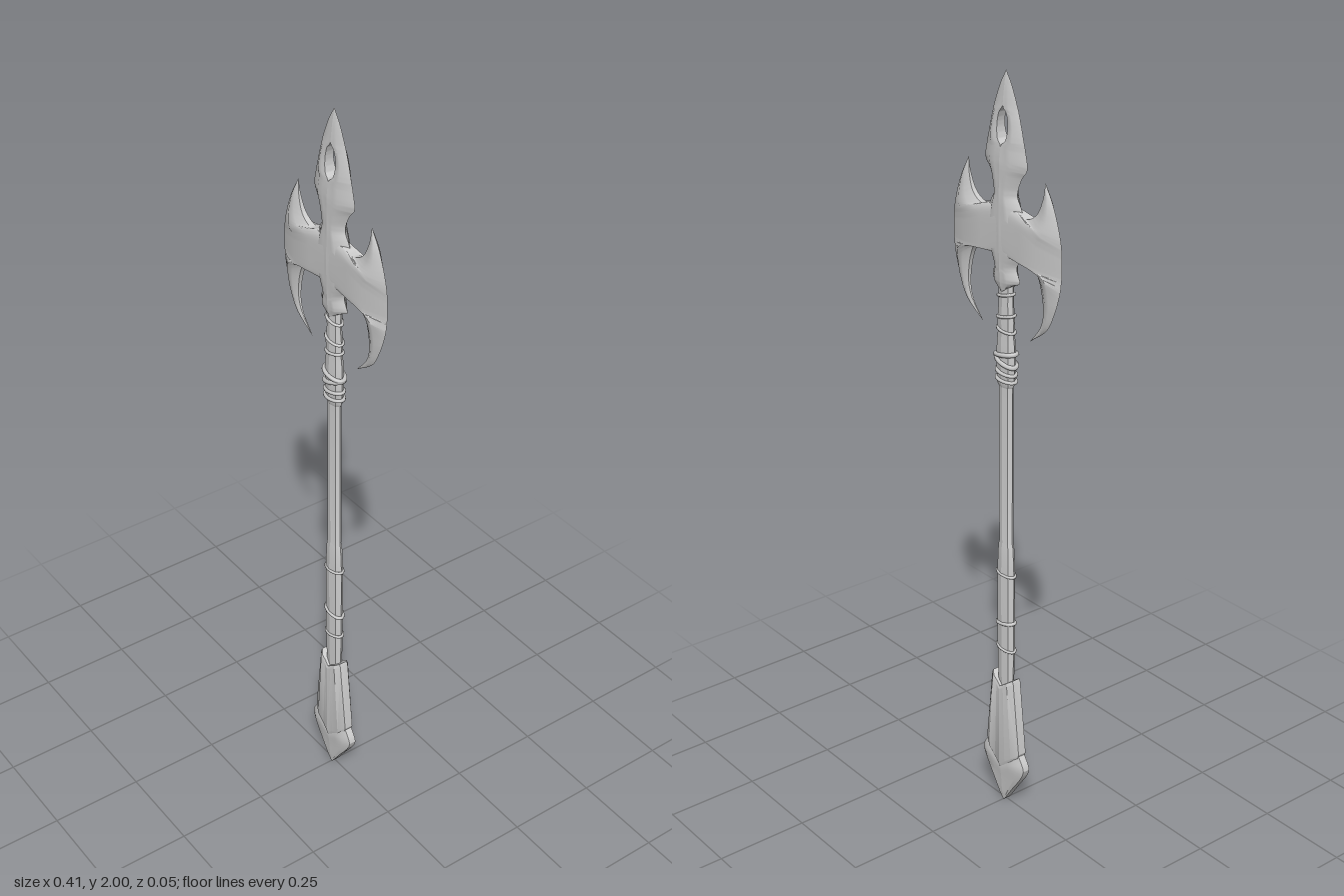
import * as THREE from 'three';
import { toCreasedNormals } from 'three/addons/utils/BufferGeometryUtils.js';

const material = new THREE.MeshStandardMaterial({ color: 0xcccccc });

function addMesh(parent, geometry, name) {
  const mesh = new THREE.Mesh(geometry, material);
  mesh.name = name;
  parent.add(mesh);
  return mesh;
}

// Lofts one side of a bevelled plate. Rows run from top to bottom:
// [innerX, innerY, outerX, outerY, innerHalfDepth, ridgeHalfDepth]
function plateHalf(rows, side, { flat = [0.3, 0.65], edge = 0, steps = 6, crease = 0.6 }) {
  const curve = (f) => new THREE.CatmullRomCurve3(
    rows.map((r) => new THREE.Vector3(...f(r))), false, 'catmullrom', 0.5);
  const inner = curve((r) => [r[0], r[1], r[4]]);
  const outer = curve((r) => [r[2], r[3], r[5]]);
  const count = (rows.length - 1) * steps;
  const positions = [], indices = [];
  const ring = 8;
  // the first and last sections repeat with no depth, closing the ends
  for (let k = -1; k <= count + 1; k++) {
    const t = Math.min(Math.max(k / count, 0), 1);
    const a = inner.getPoint(t), b = outer.getPoint(t);
    const depth = k < 0 || k > count ? 0 : 1;
    a.x = Math.max(a.x, 0);
    const section = [[0, a.z], [flat[0], b.z], [flat[1], b.z], [1, Math.min(edge, b.z)]];
    const loop = [...section, ...section.map(([s, z]) => [s, -z]).reverse()];
    for (const [s, z] of loop) {
      positions.push(side * (a.x + (b.x - a.x) * s), a.y + (b.y - a.y) * s, z * depth);
    }
  }
  for (let k = 0; k < count + 2; k++) {
    for (let i = 0; i < ring; i++) {
      const a = k * ring + i, b = k * ring + (i + 1) % ring;
      const c = a + ring, d = b + ring;
      if (side > 0) indices.push(a, c, b, b, c, d);
      else indices.push(a, b, c, b, d, c);
    }
  }
  const geometry = new THREE.BufferGeometry();
  geometry.setAttribute('position', new THREE.Float32BufferAttribute(positions, 3));
  geometry.setIndex(indices);
  return toCreasedNormals(geometry, crease);
}

function addPlate(parent, name, rows, options) {
  const group = new THREE.Group();
  group.name = name;
  addMesh(group, plateHalf(rows, 1, options), name + 'Left');
  addMesh(group, plateHalf(rows, -1, options), name + 'Right');
  parent.add(group);
}

// Tilted oval cord around the shaft
function addWrap(parent, y, rx, rz, thickness, tilt) {
  const points = [];
  for (let i = 0; i < 16; i++) {
    const a = (i / 16) * Math.PI * 2;
    points.push(new THREE.Vector3(Math.cos(a) * rx, y + Math.cos(a) * tilt, Math.sin(a) * rz));
  }
  const path = new THREE.CatmullRomCurve3(points, true);
  addMesh(parent, new THREE.TubeGeometry(path, 32, thickness, 6, true), 'wrapCord');
}

export function createModel() {
  const model = new THREE.Group();
  model.name = 'doubleAxe';

  // Crescent blades, joined through the hub
  addPlate(model, 'axeBlade', [
    [0.143, 1.765, 0.143, 1.765, 0, 0],
    [0.138, 1.725, 0.17, 1.72, 0.003, 0.008],
    [0.12, 1.685, 0.187, 1.68, 0.006, 0.014],
    [0.085, 1.665, 0.198, 1.645, 0.008, 0.02],
    [0.05, 1.675, 0.203, 1.62, 0.012, 0.022],
    [0, 1.66, 0.205, 1.6, 0.022, 0.022],
    [0, 1.57, 0.205, 1.555, 0.022, 0.022],
    [0.05, 1.565, 0.203, 1.535, 0.012, 0.022],
    [0.1, 1.565, 0.2, 1.515, 0.008, 0.02],
    [0.13, 1.525, 0.193, 1.49, 0.006, 0.015],
    [0.143, 1.46, 0.18, 1.455, 0.004, 0.01],
    [0.132, 1.41, 0.152, 1.405, 0.002, 0.006],
    [0.09, 1.36, 0.09, 1.36, 0, 0],
  ], { flat: [0.35, 0.66], crease: 0.8 });

  // Spear point with a pierced eye, neck, hub and pointed collar
  addPlate(model, 'spearHead', [
    [0, 2, 0, 2, 0, 0],
    [0, 1.965, 0.022, 1.965, 0.006, 0.005],
    [0, 1.92, 0.042, 1.92, 0.011, 0.01],
    [0.014, 1.9, 0.049, 1.9, 0.011, 0.012],
    [0.02, 1.87, 0.058, 1.87, 0.012, 0.014],
    [0.015, 1.84, 0.066, 1.84, 0.015, 0.017],
    [0, 1.822, 0.071, 1.822, 0.018, 0.018],
    [0, 1.785, 0.078, 1.78, 0.022, 0.02],
    [0, 1.75, 0.057, 1.752, 0.022, 0.021],
    [0, 1.71, 0.042, 1.71, 0.023, 0.021],
    [0, 1.67, 0.06, 1.675, 0.023, 0.022],
    [0, 1.615, 0.08, 1.615, 0.024, 0.022],
    [0, 1.565, 0.062, 1.565, 0.023, 0.022],
    [0, 1.525, 0.04, 1.53, 0.022, 0.02],
    [0, 1.49, 0.052, 1.497, 0.02, 0.018],
    [0, 1.465, 0.03, 1.485, 0.016, 0.014],
  ], { flat: [0.25, 0.48], crease: 0.8 });

  // Faceted, flattened shaft with thicker grip and neck
  const profile = [
    [0, 0.3], [0.025, 0.3], [0.03, 0.45], [0.031, 0.7], [0.027, 0.775], [0.024, 0.785],
    [0.024, 1.215], [0.03, 1.225], [0.032, 1.28], [0.031, 1.33], [0.027, 1.36],
    [0.029, 1.39], [0.025, 1.43], [0.026, 1.52], [0, 1.52],
  ].map(([x, y]) => new THREE.Vector2(x, y));
  const shaft = addMesh(model, toCreasedNormals(new THREE.LatheGeometry(profile, 8), 0.5), 'shaft');
  shaft.scale.z = 0.55;

  // Cord wraps on grip and neck
  const wraps = new THREE.Group();
  wraps.name = 'wraps';
  model.add(wraps);
  for (const [y, rx, rz, thickness, tilt] of [
    [0.475, 0.031, 0.016, 0.004, 0.004], [0.55, 0.031, 0.016, 0.005, -0.006],
    [0.695, 0.031, 0.016, 0.004, 0.002], [1.235, 0.031, 0.018, 0.005, 0.002],
    [1.255, 0.031, 0.018, 0.005, 0.004], [1.283, 0.033, 0.019, 0.006, 0.01],
    [1.302, 0.034, 0.019, 0.006, -0.006], [1.365, 0.028, 0.016, 0.004, 0.004],
    [1.4, 0.028, 0.016, 0.004, -0.006], [1.455, 0.026, 0.015, 0.004, -0.006],
  ]) addWrap(wraps, y, rx, rz, thickness, tilt);

  // Flared butt sleeve with notched ends
  addPlate(model, 'buttSleeve', [
    [0, 0.363, 0.04, 0.392, 0.022, 0.02],
    [0, 0.355, 0.044, 0.383, 0.025, 0.023],
    [0, 0.12, 0.067, 0.175, 0.025, 0.023],
    [0, 0.11, 0.063, 0.163, 0.022, 0.02],
  ], { flat: [0.3, 0.68], edge: 0.012, steps: 1, crease: 0.4 });

  // Pointed butt tip
  addPlate(model, 'buttTip', [
    [0, 0.13, 0.062, 0.172, 0.016, 0.016],
    [0, 0.11, 0.077, 0.15, 0.02, 0.02],
    [0, 0.095, 0.085, 0.13, 0.02, 0.019],
    [0, 0.075, 0.072, 0.1, 0.018, 0.017],
    [0, 0.045, 0.04, 0.055, 0.016, 0.015],
    [0, 0.02, 0.018, 0.022, 0.014, 0.013],
    [0, 0, 0.004, 0.002, 0.01, 0.01],
  ], { flat: [0.35, 0.75], edge: 0.01, steps: 2, crease: 0.5 });

  return model;
}
